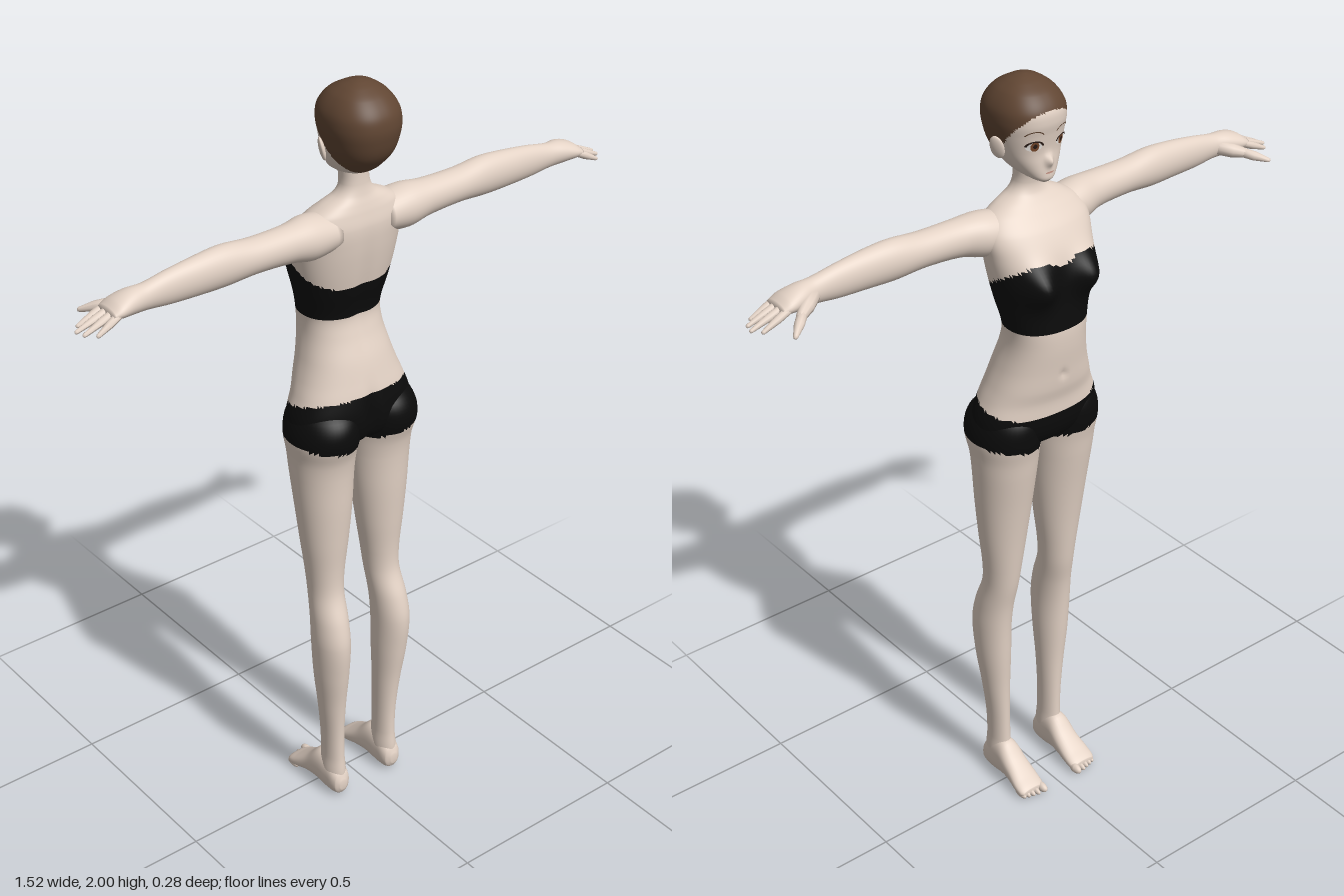
import * as THREE from 'three';

const P = 2.3; // roundness of the head cross-sections

// Smoothly interpolate a row [t, a0, a1, b0, b1] from sorted key sections.
function sample(keys, t) {
  let i = 0;
  while (i < keys.length - 2 && t > keys[i + 1][0]) i++;
  const k0 = keys[Math.max(i - 1, 0)], k1 = keys[i], k2 = keys[i + 1];
  const k3 = keys[Math.min(i + 2, keys.length - 1)];
  const h = k2[0] - k1[0], u = (t - k1[0]) / h, u2 = u * u, u3 = u2 * u;
  return k1.map((v, c) => {
    const m1 = (k2[c] - k0[c]) / (k2[0] - k0[0]) * h;
    const m2 = (k3[c] - k1[c]) / (k3[0] - k1[0]) * h;
    return (2 * u3 - 3 * u2 + 1) * v + (u3 - 2 * u2 + u) * m1 + (3 * u2 - 2 * u3) * k2[c] + (u3 - u2) * m2;
  });
}

// Closed loft of superellipse sections along an axis, with optional sculpting and paint rules.
function loft(keys, axis, { seg = 32, sub = 5, p = 2, sculpt, paint } = {}) {
  keys = [...keys].sort((a, b) => a[0] - b[0]);
  const ts = [];
  for (let i = 0; i < keys.length - 1; i++) {
    for (let s = 0; s < sub; s++) ts.push(keys[i][0] + (keys[i + 1][0] - keys[i][0]) * s / sub);
  }
  const last = keys[keys.length - 1][0];
  const rings = [[ts[0], 0], ...ts.map(t => [t, 1]), [last, 1], [last, 0]];
  const pos = [], v = new THREE.Vector3();
  const pw = c => Math.sign(c) * Math.abs(c) ** (2 / p);
  for (const [t, k] of rings) {
    const [, a0, a1, b0, b1] = sample(keys, t);
    for (let j = 0; j < seg; j++) {
      const th = j / seg * Math.PI * 2;
      const a = (a0 + a1) / 2 + (a1 - a0) / 2 * k * pw(Math.cos(th));
      const b = (b0 + b1) / 2 + (b1 - b0) / 2 * k * pw(Math.sin(th));
      if (axis === 'x') v.set(t, a, b);
      else if (axis === 'y') v.set(a, t, b);
      else v.set(a, b, t);
      if (sculpt) sculpt(v);
      pos.push(v.x, v.y, v.z);
    }
  }
  const buckets = [[], []];
  const tri = (a, b, c) => {
    const m = d => (pos[a * 3 + d] + pos[b * 3 + d] + pos[c * 3 + d]) / 3;
    const f = axis === 'y' ? [a, c, b] : [a, b, c];
    buckets[paint && paint(m(0), m(1), m(2)) ? 1 : 0].push(...f);
  };
  for (let i = 0; i < rings.length - 1; i++) {
    for (let j = 0; j < seg; j++) {
      const a = i * seg + j, b = i * seg + (j + 1) % seg;
      if (i < rings.length - 2) tri(a, b + seg, a + seg);
      if (i > 0) tri(a, b, b + seg);
    }
  }
  const g = new THREE.BufferGeometry();
  g.setAttribute('position', new THREE.Float32BufferAttribute(pos, 3));
  g.setIndex([...buckets[0], ...buckets[1]]);
  g.addGroup(0, buckets[0].length, 0);
  if (buckets[1].length) g.addGroup(buckets[0].length, buckets[1].length, 1);
  g.computeVertexNormals();
  return g;
}

// Tapered, round-tipped digit from a to b.
function digit(a, b, r0, r1) {
  const A = new THREE.Vector3(...a), dir = new THREE.Vector3(...b).sub(A), L = dir.length();
  const pts = [[0, 0], [r0, 0.001], [r0, L * 0.45], [r1, L - r1], [r1 * 0.7, L - r1 * 0.3], [0, L]];
  const g = new THREE.LatheGeometry(pts.map(q => new THREE.Vector2(...q)), 10);
  g.applyQuaternion(new THREE.Quaternion().setFromUnitVectors(new THREE.Vector3(0, 1, 0), dir.normalize()));
  return g.translate(...a);
}

function ellipsoid(x, y, z, rx, ry, rz) {
  return new THREE.SphereGeometry(1, 16, 12).scale(rx, ry, rz).translate(x, y, z);
}

// Mirror across x and restore the corner order.
function mirrored(geo) {
  const g = geo.clone().scale(-1, 1, 1), ix = g.index.array;
  for (let i = 0; i < ix.length; i += 3) [ix[i + 1], ix[i + 2]] = [ix[i + 2], ix[i + 1]];
  g.computeVertexNormals();
  return g;
}

const bump = (d, w) => Math.exp(-((d / w) ** 2));

export function createModel() {
  const model = new THREE.Group();
  const mat = (name, color) => Object.assign(new THREE.MeshStandardMaterial({ color }), { name });
  const skin = mat('skin', 0xe3d2c5), hair = mat('hair', 0x614633), cloth = mat('black cloth', 0x0b0b0b);
  const white = mat('eye white', 0xf4f0ec), iris = mat('iris', 0x7a4a2c), dark = mat('lash', 0x2a1c16);
  const lip = mat('lip', 0xc09284);
  const add = (name, geo, m) => {
    const mesh = new THREE.Mesh(geo, m);
    mesh.name = name;
    model.add(mesh);
  };
  const pair = (name, geo, m) => {
    add(name + 'Left', geo, m);
    add(name + 'Right', mirrored(geo), m);
  };

  // Torso and neck: y, half width, front z, back z
  const torso = [
    [1.065, 0.04, -0.03, 0.05], [1.09, 0.13, -0.07, 0.09], [1.12, 0.165, -0.088, 0.105],
    [1.16, 0.168, -0.095, 0.108], [1.21, 0.15, -0.097, 0.102], [1.25, 0.135, -0.105, 0.093],
    [1.3, 0.119, -0.11, 0.08], [1.36, 0.106, -0.116, 0.06], [1.41, 0.106, -0.117, 0.05],
    [1.48, 0.122, -0.11, 0.064], [1.54, 0.134, -0.105, 0.075], [1.6, 0.142, -0.095, 0.083],
    [1.65, 0.145, -0.07, 0.085], [1.685, 0.125, -0.04, 0.078], [1.705, 0.092, -0.022, 0.072],
    [1.725, 0.053, -0.008, 0.065], [1.75, 0.037, -0.004, 0.06], [1.8, 0.036, -0.015, 0.058],
  ].map(([y, w, f, b]) => [y, -w, w, f, b]);
  add('torso', loft(torso, 'y', {
    seg: 96, sub: 7, p: 2.25,
    sculpt: v => {
      const { x, y, z } = v, front = THREE.MathUtils.clamp(-z * 18, 0, 1), back = THREE.MathUtils.clamp(z * 18, 0, 1);
      v.z -= front * 0.045 * (bump(x - 0.073, 0.045) + bump(x + 0.073, 0.045)) * bump(y - 1.537, 0.05);
      v.z += front * 0.006 * bump(x, 0.008) * bump(y - 1.285, 0.012);
      v.z -= back * (0.014 * bump(x, 0.014) * bump(y - 1.14, 0.07) + 0.006 * bump(x, 0.02) * bump(y - 1.45, 0.16));
    },
    paint: (x, y, z) => (y < 1.193 + z * 0.22) ||
      (y > 1.41 && y < 1.532 - 0.58 * z - (z < 0 ? 0.02 * bump(x, 0.03) : 0)),
  }), [skin, cloth]);

  // Legs: y, inner x, outer x, front z, back z
  pair('leg', loft([
    [1.2, 0.03, 0.13, -0.05, 0.06], [1.16, 0.004, 0.165, -0.083, 0.108], [1.11, 0, 0.179, -0.088, 0.119],
    [1.05, 0.004, 0.172, -0.078, 0.102], [1.0, 0.008, 0.168, -0.071, 0.095], [0.9, 0.015, 0.16, -0.055, 0.09],
    [0.8, 0.026, 0.15, -0.041, 0.083], [0.7, 0.04, 0.138, -0.029, 0.076], [0.64, 0.046, 0.135, -0.021, 0.08],
    [0.57, 0.05, 0.14, -0.008, 0.105], [0.5, 0.052, 0.143, -0.001, 0.118], [0.4, 0.053, 0.138, 0.004, 0.11],
    [0.3, 0.057, 0.126, 0.01, 0.096], [0.2, 0.06, 0.115, 0.012, 0.088], [0.12, 0.06, 0.112, 0.011, 0.088],
    [0.07, 0.057, 0.115, 0.008, 0.092], [0.03, 0.06, 0.112, 0.015, 0.09],
  ], 'y', { seg: 48, sub: 6, paint: (x, y) => y > 1.068 + 0.17 * x }), [skin, cloth]);

  // Feet: z, inner x, outer x, sole y, top y
  pair('foot', loft([
    [0.098, 0.077, 0.098, 0.022, 0.05], [0.088, 0.062, 0.111, 0.006, 0.075], [0.05, 0.056, 0.117, 0, 0.11],
    [0.01, 0.053, 0.12, 0.007, 0.115], [-0.03, 0.05, 0.122, 0.009, 0.078], [-0.07, 0.048, 0.127, 0.003, 0.048],
    [-0.092, 0.05, 0.126, 0.002, 0.034], [-0.102, 0.056, 0.12, 0.006, 0.026],
  ], 'z', { p: 2.3 }), skin);
  [0.059, 0.078, 0.092, 0.105, 0.117].forEach((x, i) => {
    const r = i ? 0.0075 : 0.011;
    pair('toe' + (i + 1), ellipsoid(x, r + 0.003, -0.1 + i * 0.004, r, r + 0.002, 0.022), skin);
  });

  // Arms and palms: x, low y, high y, front z, back z
  pair('arm', loft([
    [0.07, 1.6, 1.69, -0.03, 0.08], [0.14, 1.592, 1.701, -0.024, 0.085], [0.2, 1.606, 1.698, -0.006, 0.082],
    [0.3, 1.612, 1.698, 0, 0.08], [0.38, 1.607, 1.706, 0.002, 0.078], [0.45, 1.608, 1.702, 0.008, 0.075],
    [0.53, 1.611, 1.692, 0.014, 0.069], [0.59, 1.618, 1.681, 0.016, 0.068], [0.63, 1.62, 1.678, 0.006, 0.074],
    [0.665, 1.624, 1.667, 0.001, 0.079], [0.688, 1.63, 1.652, 0.006, 0.075],
  ], 'x', { seg: 40 }), skin);

  // Fingers and thumbs
  [[0.012, 0.745, 0.008], [0.031, 0.762, 0.03], [0.05, 0.756, 0.053], [0.067, 0.735, 0.075]].forEach(([z, tip, tz], i) =>
    pair('finger' + (i + 1), digit([0.665, 1.645, z], [tip, 1.611, tz], 0.0095, 0.005), skin));
  pair('thumbBase', digit([0.598, 1.648, 0.028], [0.668, 1.627, -0.02], 0.018, 0.011), skin);
  pair('thumb', digit([0.648, 1.633, -0.006], [0.702, 1.612, -0.056], 0.012, 0.006), skin);

  // Head with painted short hair: y, half width, front z, back z
  const head = [
    [1.764, 0.012, -0.043, -0.018], [1.772, 0.028, -0.05, 0.02], [1.785, 0.045, -0.051, 0.072],
    [1.81, 0.063, -0.049, 0.104], [1.84, 0.077, -0.047, 0.127], [1.88, 0.087, -0.052, 0.14],
    [1.91, 0.09, -0.057, 0.143], [1.94, 0.085, -0.053, 0.136], [1.97, 0.066, -0.03, 0.112],
    [1.988, 0.042, 0, 0.084], [1.997, 0.02, 0.024, 0.062], [2.0, 0.005, 0.038, 0.048],
  ].map(([y, w, f, b]) => [y, -w, w, f, b]);
  add('head', loft(head, 'y', {
    seg: 96, sub: 7, p: P,
    sculpt: v => { if (v.z < 0) v.z -= 0.015 * bump(v.x, 0.009) * bump(v.y - 1.818, 0.014); },
    paint: (x, y, z) => y > 1.878 - 1.15 * z,
  }), [skin, hair]);
  pair('ear', ellipsoid(0, 0, 0, 0.007, 0.03, 0.018).rotateY(0.5).rotateZ(-0.25).translate(0.09, 1.85, 0.025), skin);

  // Thin face details laid over the head surface
  const onFace = (geo, sx, sy, x, y, off) => {
    const g = geo.rotateY(Math.PI).scale(sx, sy, 1).translate(x, y, 0), p = g.attributes.position;
    for (let i = 0; i < p.count; i++) {
      const [, , w, f, b] = sample(head, p.getY(i));
      const k = (1 - Math.min(Math.abs(p.getX(i) / w), 1) ** P) ** (1 / P);
      p.setZ(i, (f + b) / 2 - (b - f) / 2 * k - off);
    }
    g.computeVertexNormals();
    return g;
  };
  const disc = () => new THREE.CircleGeometry(1, 28);
  const arc = (inner, cut) => new THREE.RingGeometry(inner, 1, 24, 1, cut, Math.PI - 2 * cut);
  pair('eyeWhite', onFace(disc(), 0.018, 0.012, 0.038, 1.86, 0.0015), white);
  pair('iris', onFace(disc(), 0.0095, 0.012, 0.037, 1.86, 0.0025), iris);
  pair('pupil', onFace(disc(), 0.0045, 0.006, 0.037, 1.861, 0.0035), dark);
  pair('upperLash', onFace(arc(0.76, 0.1), 0.021, 0.015, 0.038, 1.86, 0.004), dark);
  pair('eyebrow', onFace(arc(0.88, 0.5), 0.025, 0.02, 0.039, 1.879, 0.002), hair);
  add('mouth', onFace(disc(), 0.012, 0.0022, 0, 1.79, 0.0025), lip);

  return model;
}
